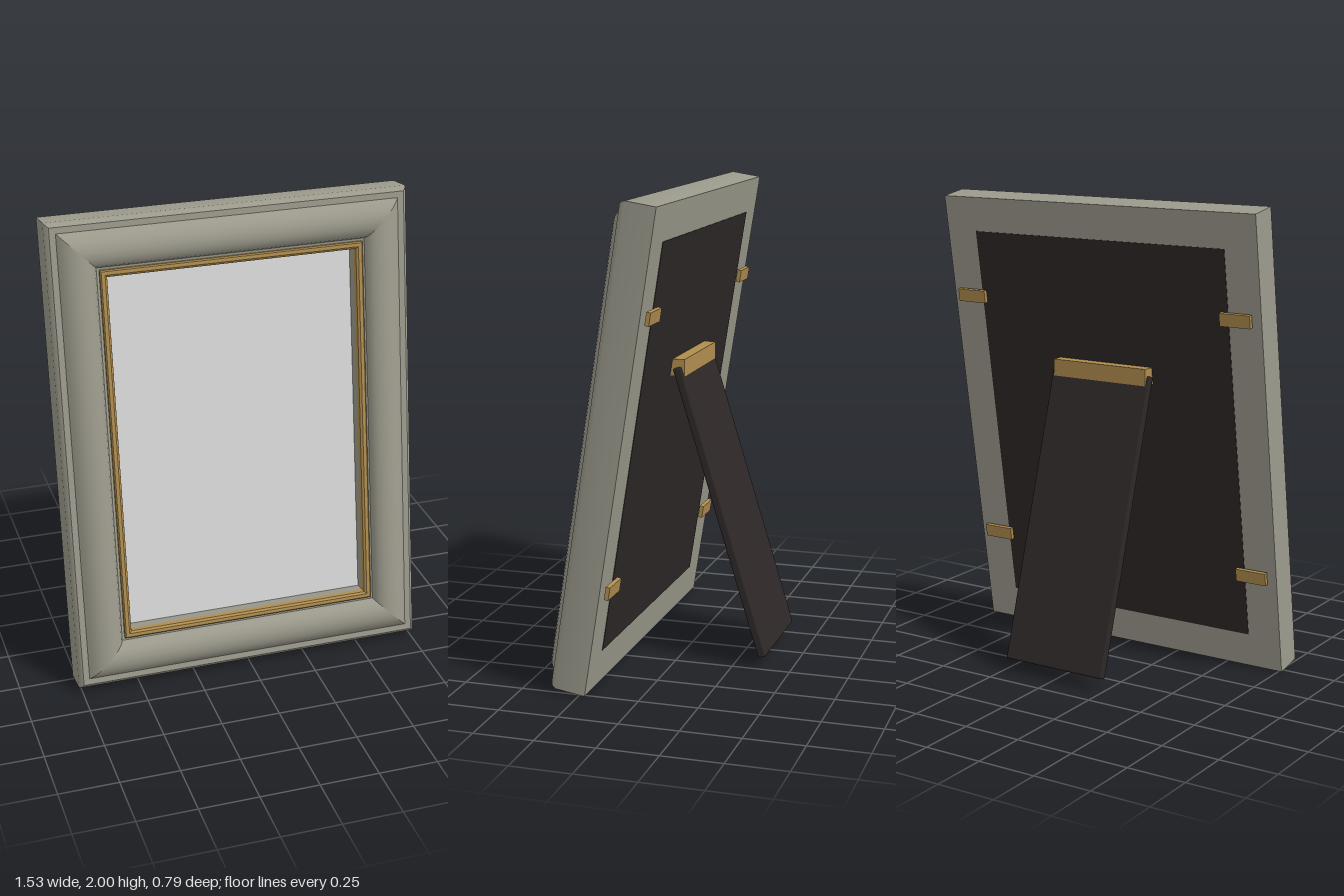
import * as THREE from 'three';
import { toCreasedNormals } from 'three/addons/utils/BufferGeometryUtils.js';
import { RoundedBoxGeometry } from 'three/addons/geometries/RoundedBoxGeometry.js';

const W = 0.763, H = 1.0025; // half width and half height of the frame
const TILT = THREE.MathUtils.degToRad(9);

const material = (name, color) => {
  const m = new THREE.MeshStandardMaterial({ color });
  m.name = name;
  return m;
};

// One mitred rail: a closed [inset, depth] profile swept between two corners
function railGeometry(profile, a, b) {
  const at = (c, [inset, d]) => [c[0] * (W - inset), c[1] * (H - inset), d];
  const pos = [];
  profile.forEach((p, i) => {
    const q = profile[(i + 1) % profile.length];
    const [a0, b0, b1, a1] = [at(a, p), at(b, p), at(b, q), at(a, q)];
    pos.push(...a0, ...b0, ...b1, ...a0, ...b1, ...a1);
  });
  const geo = new THREE.BufferGeometry();
  geo.setAttribute('position', new THREE.Float32BufferAttribute(pos, 3));
  return toCreasedNormals(geo, 0.6);
}

function mitredRing(name, profile, mat) {
  const ring = new THREE.Group();
  ring.name = name;
  const corners = [[-1, -1], [1, -1], [1, 1], [-1, 1]];
  ['bottom', 'right', 'top', 'left'].forEach((side, i) => {
    const mesh = new THREE.Mesh(railGeometry(profile, corners[i], corners[(i + 1) % 4]), mat);
    mesh.name = `${name} ${side}`;
    ring.add(mesh);
  });
  return ring;
}

export function createModel() {
  const wood = material('grey painted wood', 0x9c9a8c);
  const gold = material('antique gold', 0xb08d4f);
  const dark = material('dark backing', 0x2e2828);
  const print = material('pale print', 0xd9d9d9);

  const model = new THREE.Group();
  model.name = 'photo frame';

  const add = (parent, name, geo, mat, x, y, z) => {
    const mesh = new THREE.Mesh(geo, mat);
    mesh.name = name;
    mesh.position.set(x, y, z);
    parent.add(mesh);
    return mesh;
  };

  // Leaning frame: local z = 0 is its back, local y = 0 its middle
  const frame = new THREE.Group();
  frame.name = 'leaning frame';
  frame.rotation.x = -TILT;
  frame.position.set(0, H * Math.cos(TILT), 0.225 - H * Math.sin(TILT));
  model.add(frame);

  // Moulded rails
  frame.add(mitredRing('moulding', [
    [0, 0], [0, 0.128], [0.006, 0.143], [0.018, 0.152], [0.044, 0.151],
    [0.056, 0.165], [0.075, 0.182], [0.098, 0.193], [0.125, 0.198],
    [0.15, 0.195], [0.172, 0.186], [0.188, 0.171], [0.196, 0.153],
    [0.208, 0.15], [0.238, 0.143], [0.238, 0],
  ], wood));

  // Gold bead around the opening
  frame.add(mitredRing('gold bead', [
    [0.207, 0.14], [0.207, 0.162], [0.212, 0.167], [0.227, 0.167],
    [0.236, 0.16], [0.239, 0.148], [0.239, 0.14],
  ], gold));

  // Print and backing board
  add(frame, 'print', new THREE.BoxGeometry(2 * (W - 0.22), 2 * (H - 0.22), 0.008), print, 0, 0, 0.084);
  add(frame, 'backing board', new THREE.BoxGeometry(2 * (W - 0.15), 2 * (H - 0.15), 0.04), dark, 0, 0, 0.018);

  // Retaining clips behind the side rails
  for (const x of [-0.655, 0.655])
    for (const y of [-0.565, 0.565])
      add(frame, 'retaining clip', new THREE.BoxGeometry(0.14, 0.055, 0.018), gold, x, y, -0.019);

  // Hinge and easel leg
  add(model, 'hinge', new THREE.BoxGeometry(0.46, 0.072, 0.07), gold, 0, 1.267, 0);
  const top = new THREE.Vector2(-0.003, 1.268), foot = new THREE.Vector2(-0.378, 0.049);
  const leg = add(model, 'easel leg',
    new RoundedBoxGeometry(0.484, top.distanceTo(foot), 0.036, 2, 0.009), dark,
    0, (top.y + foot.y) / 2, (top.x + foot.x) / 2);
  leg.rotation.x = Math.atan2(top.x - foot.x, top.y - foot.y);

  return model;
}
